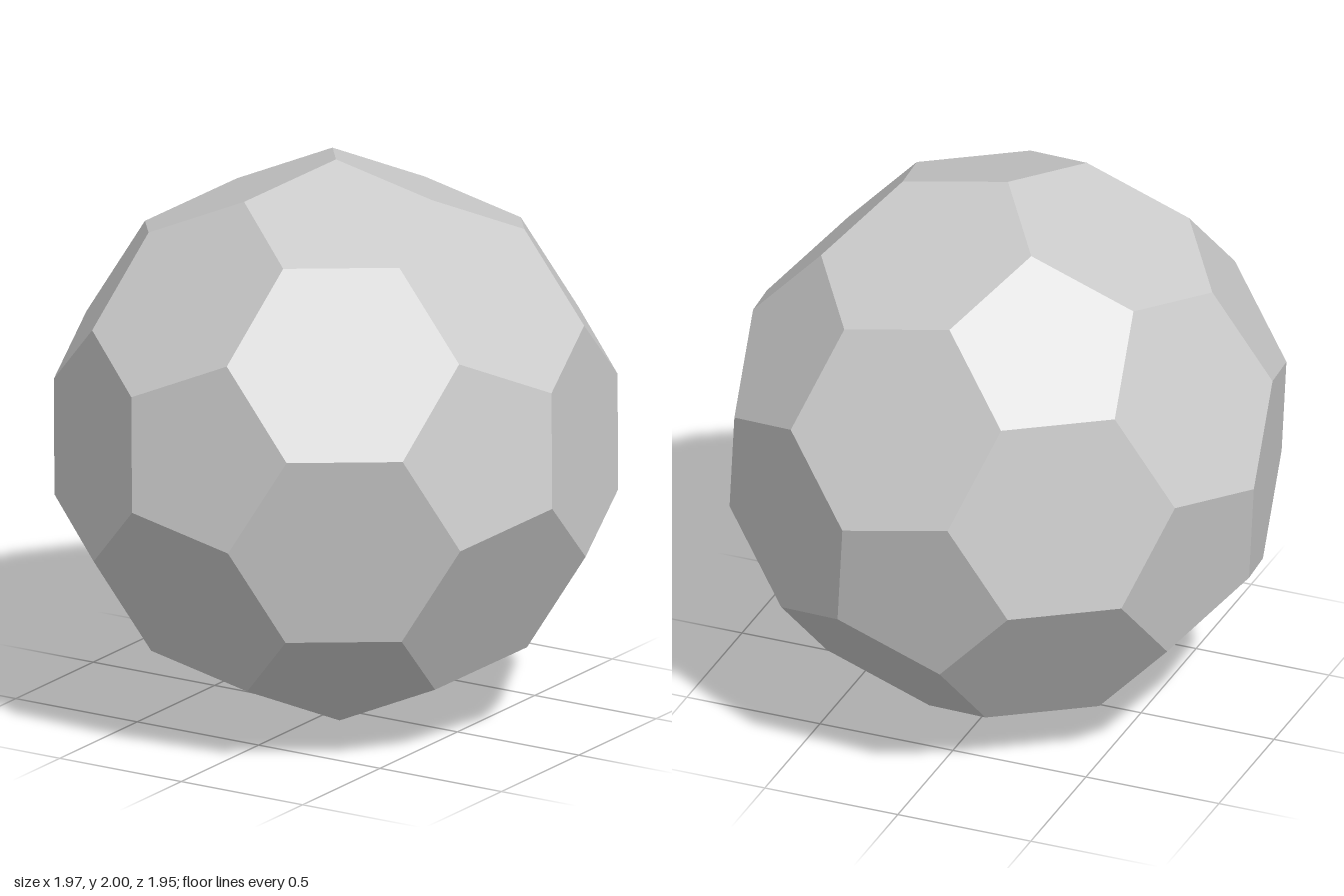
import * as THREE from 'three';

// The 12 corners of an icosahedron with edge length 2
function icosahedronCorners() {
  const phi = (1 + Math.sqrt(5)) / 2;
  const corners = [];
  for (const a of [-1, 1]) {
    for (const b of [-phi, phi]) {
      corners.push(new THREE.Vector3(0, a, b), new THREE.Vector3(a, b, 0), new THREE.Vector3(b, 0, a));
    }
  }
  return corners;
}

const adjacent = (a, b) => Math.abs(a.distanceTo(b) - 2) < 0.01;

// Point one third along an edge, pushed to the unit sphere
const cutPoint = (a, b) => a.clone().multiplyScalar(2).add(b).normalize();

// Flat polygons: for each direction, the corners furthest out, ordered around it
function panelGeometry(directions, points) {
  const positions = [];
  for (const dir of directions) {
    const n = dir.clone().normalize();
    const reach = Math.max(...points.map((p) => p.dot(n)));
    const ring = points.filter((p) => p.dot(n) > reach - 0.001);
    const u = ring[0].clone().addScaledVector(n, -reach).normalize();
    const v = n.clone().cross(u);
    const angle = (p) => Math.atan2(p.dot(v), p.dot(u));
    ring.sort((a, b) => angle(a) - angle(b));
    for (let i = 1; i < ring.length - 1; i++) {
      for (const p of [ring[0], ring[i], ring[i + 1]]) positions.push(p.x, p.y, p.z);
    }
  }
  const geometry = new THREE.BufferGeometry();
  geometry.setAttribute('position', new THREE.Float32BufferAttribute(positions, 3));
  geometry.computeVertexNormals();
  return geometry;
}

export function createModel() {
  const corners = icosahedronCorners();

  // Turn the solid: one corner straight up, a pentagon edge from it along +x, that pentagon towards +z
  const a = corners[0];
  const b = corners.find((c) => adjacent(a, c));
  const up = cutPoint(a, b);
  const turn = new THREE.Matrix4();
  for (const c of corners.filter((k) => adjacent(a, k) && adjacent(b, k))) {
    const next = cutPoint(a, c);
    const x = next.addScaledVector(up, -next.dot(up)).normalize();
    const z = x.clone().cross(up);
    if (a.dot(z) > 0) turn.makeBasis(x, up, z).transpose();
  }
  corners.forEach((c) => c.applyMatrix4(turn));

  // The 60 cut corners, and the outward directions of the two kinds of panel
  const points = [];
  const hexagonDirections = [];
  corners.forEach((p, i) => corners.forEach((q, j) => {
    if (!adjacent(p, q)) return;
    points.push(cutPoint(p, q));
    corners.forEach((r, k) => {
      if (i < j && j < k && adjacent(p, r) && adjacent(q, r)) {
        hexagonDirections.push(p.clone().add(q).add(r));
      }
    });
  }));

  const material = new THREE.MeshStandardMaterial({ color: 0xcccccc, flatShading: true });
  const group = new THREE.Group();
  group.name = 'truncatedIcosahedron';
  const addPanels = (name, directions) => {
    const mesh = new THREE.Mesh(panelGeometry(directions, points), material);
    mesh.name = name;
    mesh.position.y = 1;
    group.add(mesh);
  };
  addPanels('pentagonPanels', corners);
  addPanels('hexagonPanels', hexagonDirections);
  return group;
}
